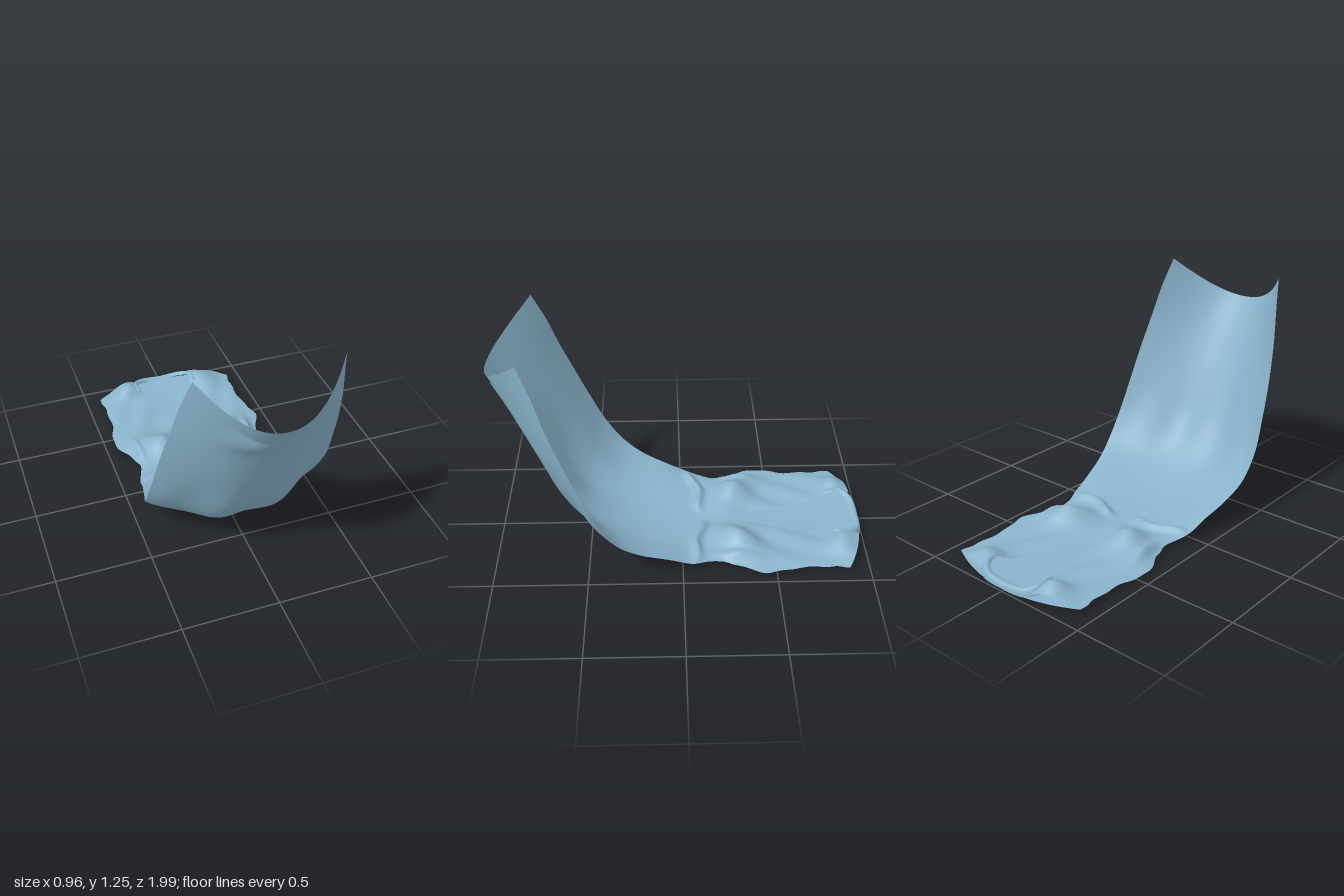
import * as THREE from 'three';
import { mergeGeometries, mergeVertices } from 'three/addons/utils/BufferGeometryUtils.js';

// Lengthwise stations, collar to hem: centre y, centre z, half width, edge y, edge z
const STATIONS = [
  [0.02, -0.995, 0.42, 0.025, -0.89],
  [0.012, -0.85, 0.41, 0.025, -0.78],
  [0.008, -0.65, 0.415, 0.02, -0.6],
  [0.006, -0.45, 0.445, 0.02, -0.44],
  [0.008, -0.3, 0.385, 0.025, -0.28],
  [0.01, -0.18, 0.36, 0.03, -0.18],
  [0.015, -0.05, 0.4, 0.05, -0.05],
  [0.025, 0.1, 0.42, 0.1, 0.08],
  [0.05, 0.25, 0.45, 0.16, 0.22],
  [0.105, 0.4, 0.475, 0.24, 0.33],
  [0.19, 0.53, 0.48, 0.38, 0.43],
  [0.33, 0.64, 0.47, 0.54, 0.505],
  [0.52, 0.735, 0.455, 0.72, 0.58],
  [0.7, 0.82, 0.425, 0.93, 0.66],
  [0.88, 0.905, 0.395, 1.1, 0.715],
  [1.05, 0.995, 0.36, 1.26, 0.78],
];
const centre = new THREE.CatmullRomCurve3(STATIONS.map(s => new THREE.Vector3(0, s[0], s[1])));
const edge = new THREE.CatmullRomCurve3(STATIONS.map(s => new THREE.Vector3(s[2], s[3], s[4])));

const bump = (d, width) => Math.exp(-((d / width) ** 2));
const clamp = THREE.MathUtils.clamp;
const smooth = THREE.MathUtils.smoothstep;

// Point on the cloth: u across (-1..1), t along (0..1), lifted along the local normal
function cloth(u, t, lift) {
  const c = centre.getPoint(t), e = edge.getPoint(t);
  const d = centre.getPoint(Math.min(t + 0.01, 1)).sub(centre.getPoint(Math.max(t - 0.01, 0))).normalize();
  const k = Math.abs(u) ** 2.1;
  const ragged = 1 + 0.012 * Math.sin(t * 95 + Math.sign(u)) * bump(t - 0.15, 0.2);
  const p = new THREE.Vector3(e.x * u * ragged, c.y + (e.y - c.y) * k, c.z + (e.z - c.z) * k);
  const h = lift(p.x, p.y, p.z, u);
  p.y = Math.max(p.y + d.z * h, 0);
  p.z -= d.y * h;
  return p;
}

// Grid surface from a function (a, b in 0..1) -> Vector3
function sheet(fn, na, nb) {
  const pos = [], idx = [];
  for (let j = 0; j <= nb; j++)
    for (let i = 0; i <= na; i++) pos.push(...fn(i / na, j / nb).toArray());
  for (let j = 0; j < nb; j++)
    for (let i = 0; i < na; i++) {
      const a = j * (na + 1) + i, b = a + na + 1;
      idx.push(a, b, a + 1, b, b + 1, a + 1);
    }
  const g = new THREE.BufferGeometry();
  g.setAttribute('position', new THREE.Float32BufferAttribute(pos, 3));
  g.setIndex(idx);
  return g;
}

// Folds of the lower layer: pleats on the raised skirt and a sagging pocket near the hem
function backLift(x, y, z) {
  const pleats = 0.014 * Math.cos(x * 20) * bump(y - 0.32, 0.22) * smooth(z, 0.25, 0.5);
  const sag = 0.025 * bump(x + 0.13, 0.1) * bump(y - 0.97, 0.07);
  return pleats - sag;
}

// Folds of the upper layer: chest, shoulder, waist gathers and sleeve cuffs
function frontLift(x, y, z, u) {
  const ax = Math.abs(x);
  const closed = 1 - Math.abs(u) ** 6;
  const chest = 0.08 * bump(z + 0.3 + 0.25 * (ax - 0.2), 0.11) * bump(ax - 0.21, 0.13);
  const shoulder = 0.065 * bump(z + 0.88, 0.08) * bump(ax - 0.23, 0.09);
  const gather = 0.035 * bump(z + 0.12 - 0.15 * ax + 0.015 * Math.sin(x * 22), 0.025) * smooth(ax, 0.02, 0.12);
  const cuff = 0.045 * bump(ax - 0.34 + 0.1 * (z + 0.3), 0.025) * bump(z + 0.3, 0.1);
  const crease = 0.006 * Math.sin(x * 31 + z * 17) * smooth(-z, 0.1, 0.3);
  const body = 0.02 - 0.014 * smooth(y, 0.6, 1.05);
  const pleats = 0.01 * Math.cos(x * 20) * bump(y - 0.32, 0.22) * smooth(z, 0.25, 0.5);
  return closed * (body + chest + shoulder + gather + cuff + crease + pleats);
}

export function createModel() {
  const group = new THREE.Group();
  const material = new THREE.MeshStandardMaterial({ color: 0x8ab4cc, side: THREE.DoubleSide });
  const add = (name, geometry) => {
    const g = mergeVertices(geometry, 1e-4);
    g.computeVertexNormals();
    const mesh = new THREE.Mesh(g, material);
    mesh.name = name;
    group.add(mesh);
  };

  // Lower layer, slightly shorter at the hem
  add('backPanel', sheet((a, b) => cloth(a * 2 - 1, b * 0.978, backLift), 64, 140));

  // Upper layer in two halves, parted by the V neck
  const neck = t => 0.18 * clamp((-0.17 - centre.getPoint(t).z) / 0.78, 0, 1) / edge.getPoint(t).x;
  const half = side => sheet((a, b) => {
    const n = neck(b);
    const u = side > 0 ? n + (1 - n) * a : -1 + (1 - n) * a;
    return cloth(u, b, frontLift);
  }, 36, 160);
  add('frontPanel', mergeGeometries([half(-1), half(1)]));

  // Standing collar around the back of the neck
  const foot = new THREE.CatmullRomCurve3([
    [-0.2, 0.05, -0.84], [-0.2, 0.04, -0.93], [-0.15, 0.025, -0.985], [0, 0.02, -1],
    [0.15, 0.025, -0.985], [0.2, 0.04, -0.93], [0.2, 0.05, -0.84],
  ].map(p => new THREE.Vector3(...p)));
  add('collar', sheet((a, b) => {
    const p = foot.getPoint(a);
    const side = Math.abs(a - 0.5) * 2;
    p.y += Math.sin(b * Math.PI * 0.75) * (0.03 + 0.03 * side * (1 - side ** 4));
    p.x *= 1 - 0.16 * b;
    p.z += 0.045 * b * b * (1 - side * 0.5);
    return p;
  }, 40, 8));

  return group;
}
